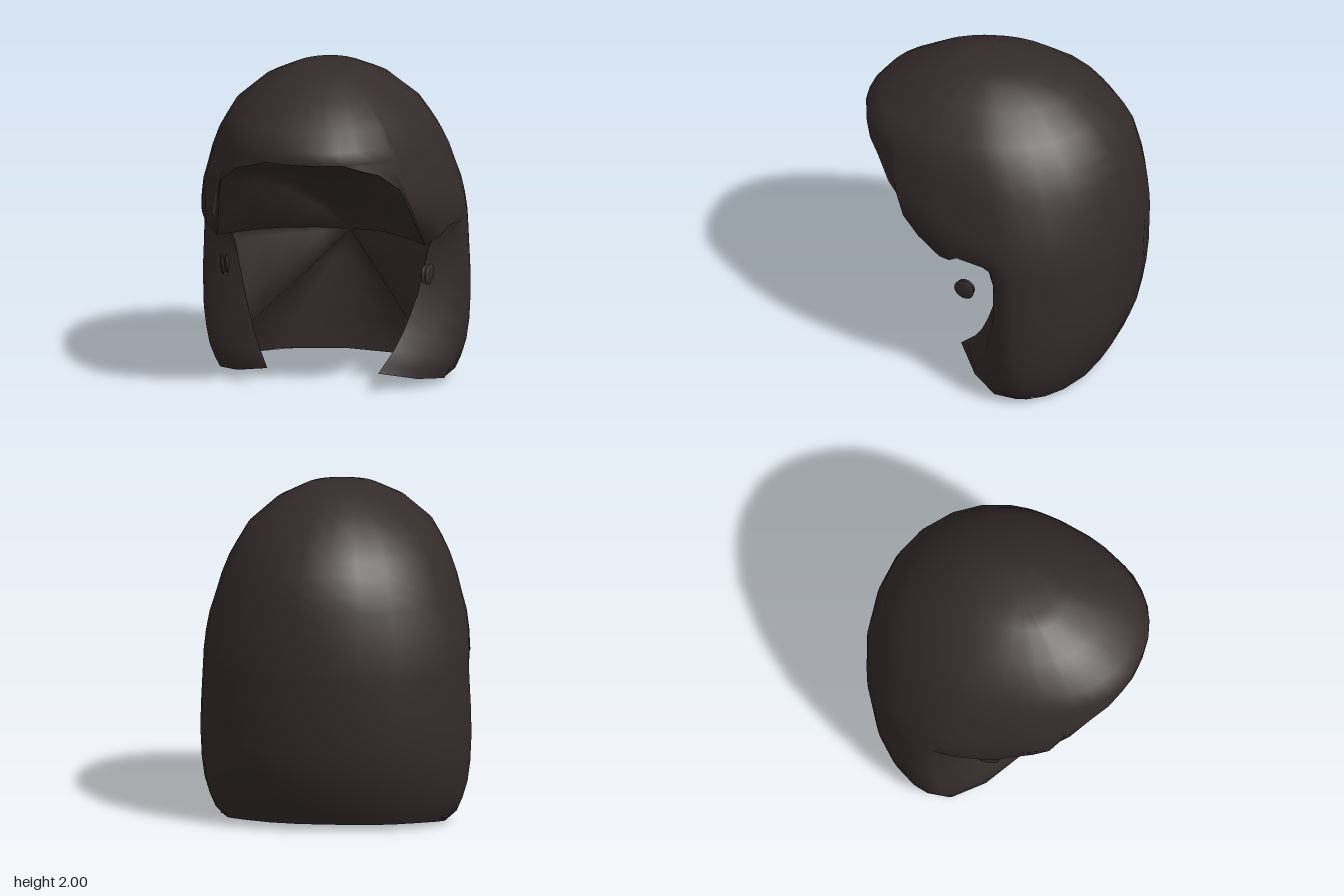
import * as THREE from 'three';
import { mergeVertices } from 'three/addons/utils/BufferGeometryUtils.js';

// Horizontal outline at each height: [y, halfWidth, backZ, frontZ]
const LEVELS = [
  [2, 0, 0.08, 0.08], [1.995, 0.15, -0.04, 0.25], [1.975, 0.23, -0.22, 0.36],
  [1.89, 0.4, -0.43, 0.57], [1.75, 0.56, -0.6, 0.78], [1.65, 0.62, -0.68, 0.86],
  [1.57, 0.665, -0.73, 0.855], [1.47, 0.705, -0.78, 0.87], [1.38, 0.73, -0.8, 0.9],
  [1.22, 0.78, -0.83, 0.85], [1.07, 0.8, -0.845, 0.69], [0.95, 0.805, -0.85, 0.5],
  [0.65, 0.82, -0.84, 0.5], [0.42, 0.82, -0.81, 0.5], [0.2, 0.79, -0.73, 0.45],
  [0.04, 0.72, -0.64, 0.4], [0, 0.66, -0.61, 0.4],
];
// Height of the fringe and sideburn edge by angle from the front
const RIM = [[0, 1.57], [0.3, 1.57], [0.62, 1.49], [0.8, 1.38], [0.86, 0.95], [1.06, 0.99], [1.19, 1.04], [1.4, 1.03], [3.15, 1.03]];
// Height of the bottom hem by angle
const HEM = [[1.4, 0.12], [1.5, 0.06], [1.65, 0], [2.2, 0.03], [3.15, 0.04]];
// Front edge of the side hair: [y, x, z]
const EDGE = [[1.03, 0.78, -0.02], [0.95, 0.63, -0.04], [0.83, 0.59, -0.07], [0.54, 0.53, -0.05], [0.28, 0.44, 0.06], [0.12, 0.34, 0.2]];
const CENTRE = [[2, 0.08], [1.75, 0.02], [1.4, -0.1], [1, -0.2], [0, -0.2]];

// Linear lookup in a table sorted on its first column, either way
function lookup(table, v, k = 1) {
  for (let i = 1; i < table.length; i++) {
    const a = table[i - 1], b = table[i];
    if ((v - a[0]) * (v - b[0]) <= 0) return a[k] + (b[k] - a[k]) * (v - a[0]) / (b[0] - a[0]);
  }
  const first = table[0], last = table[table.length - 1];
  return Math.abs(v - first[0]) < Math.abs(v - last[0]) ? first[k] : last[k];
}

// Point on the head outline, t = 0 at the front and PI at the back
function outline(t, y) {
  const zc = lookup(CENTRE, y), s = Math.max(0, Math.sin(t)), c = Math.cos(t);
  const x = lookup(LEVELS, y, 1) * (c > 0 ? Math.pow(s, 0.85) : s);
  const z = zc + c * (c > 0 ? lookup(LEVELS, y, 3) - zc : zc - lookup(LEVELS, y, 2));
  return [x, y, z];
}

// Crown, fringe and sideburns
function capPoint(t, row) {
  if (row < 7) return outline(t, LEVELS[row][0]);
  return outline(t, 1.57 + (lookup(RIM, t) - 1.57) * (row - 6) / 5);
}

// Long hair at the back and sides, its front edges folding inward
const DROP = [0, 0.08, 0.2, 0.35, 0.5, 0.64, 0.76, 0.86, 0.94, 1];
function curtainPoint(t, row) {
  const y = 1.03 + (lookup(HEM, t) - 1.03) * DROP[row];
  const p = outline(t, y);
  const [curlX, curlZ] = t < 1.45 ? [1, 1] : t < 1.55 ? [0.45, 0.6] : t < 1.6 ? [0.06, 0.25] : [0, 0];
  if (row > 0 && curlZ > 0) {
    p[0] += (lookup(EDGE, y, 1) - p[0]) * curlX;
    p[2] += (lookup(EDGE, y, 2) - p[2]) * curlZ;
  }
  return p;
}

// Inner lining: from the fringe, side edges and hem to one point low at the back
const APEX = [0, 0.77, -0.68];
const LINING_RIM = [
  ...[0, 0.3, 0.62, 0.8, 0.86].map(t => outline(t, lookup(RIM, t))),
  [0.64, 0.97, -0.03], [0.59, 0.83, -0.07], [0.53, 0.54, -0.05], [0.6, 0.22, -0.01],
  [0.69, 0.04, -0.33], [0.4, 0.04, -0.56], [0, 0.04, -0.63],
];
function liningPoint(i, row) {
  const s = row / 4, rim = LINING_RIM[i];
  const p = rim.map((v, k) => v + (APEX[k] - v) * s);
  // The upper part is hollowed slightly into a vault
  const lift = 0.12 * Math.max(0, rim[1] - APEX[1]) * Math.sin(Math.PI * s);
  return [p[0], p[1] + lift, p[2] - lift];
}

// Smooth sheet of quads over the left half columns and their mirror on the right
function addGrid(pos, idx, half, rows, pointAt) {
  const n = half.length * 2 - 1, base = pos.length / 3;
  for (let r = 0; r < rows; r++) {
    for (let c = 0; c < n; c++) {
      const right = c >= half.length;
      const [x, y, z] = pointAt(half[right ? n - 1 - c : c], r);
      pos.push(right ? -x : x, y, z);
    }
  }
  for (let r = 0; r < rows - 1; r++) {
    for (let c = 0; c < n - 1; c++) {
      const a = base + r * n + c, b = a + n;
      idx.push(a, b, b + 1, a, b + 1, a + 1);
    }
  }
}

function smoothMesh(name, pos, idx, material) {
  let geo = new THREE.BufferGeometry();
  geo.setAttribute('position', new THREE.Float32BufferAttribute(pos, 3));
  geo.setIndex(idx);
  geo = mergeVertices(geo, 1e-4);
  geo.computeVertexNormals();
  const mesh = new THREE.Mesh(geo, material);
  mesh.name = name;
  return mesh;
}

export function createModel() {
  const group = new THREE.Group();
  const darkBrown = new THREE.MeshStandardMaterial({ color: 0x352b2b, side: THREE.DoubleSide });
  darkBrown.name = 'darkBrown';

  // Hair shell
  const pos = [], idx = [];
  const back = [1.4, 1.5, 1.571, 1.65, 1.8, 2.05, 2.3, 2.6, 2.87, Math.PI];
  addGrid(pos, idx, [0, 0.15, 0.3, 0.46, 0.62, 0.8, 0.86, 1.06, 1.19, ...back], 12, capPoint);
  addGrid(pos, idx, back, DROP.length, curtainPoint);
  group.add(smoothMesh('hair', pos, idx, darkBrown));

  // Lining inside the face opening
  const liningPos = [], liningIdx = [];
  addGrid(liningPos, liningIdx, LINING_RIM.map((_, i) => i), 5, liningPoint);
  group.add(smoothMesh('lining', liningPos, liningIdx, darkBrown));

  // Ear studs, each a pair of small lens-shaped discs
  const lens = new THREE.SphereGeometry(0.066, 14, 10);
  for (const side of [1, -1]) {
    const stud = new THREE.Group();
    stud.name = side > 0 ? 'leftEarStud' : 'rightEarStud';
    for (const [dx, size] of [[-0.014, 0.9], [0.014, 1]]) {
      const disc = new THREE.Mesh(lens, darkBrown);
      disc.name = 'studDisc';
      disc.scale.set(0.2, size, size);
      disc.position.x = dx * side;
      stud.add(disc);
    }
    stud.position.set(0.62 * side, 0.73, 0.1);
    stud.rotation.set(0, side * -0.2, side * -0.08);
    group.add(stud);
  }
  return group;
}
